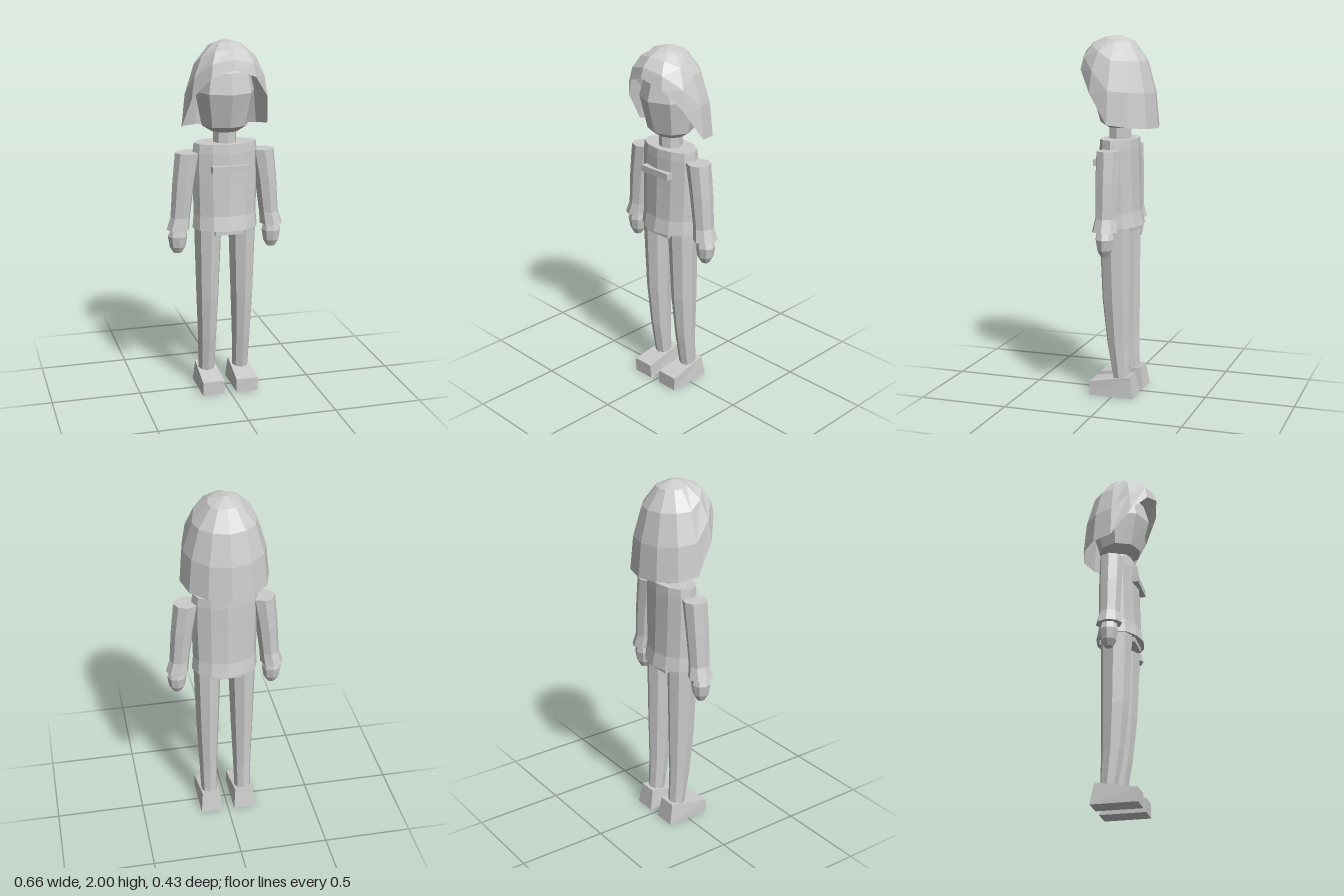
import * as THREE from 'three';

const grey = new THREE.MeshStandardMaterial({ color: 0xcccccc, flatShading: true, side: THREE.DoubleSide });
grey.name = 'light grey';

// Joins rings of points, listed bottom to top, into a faceted skin with optional end caps
function skin(name, rings, capBottom = true, capTop = true) {
  const n = rings[0].length, pos = [], index = [];
  rings.forEach(r => r.forEach(p => pos.push(...p)));
  for (let k = 0; k < rings.length - 1; k++) {
    for (let i = 0; i < n; i++) {
      const a = k * n + i, b = k * n + (i + 1) % n;
      index.push(a, b, b + n, a, b + n, a + n);
    }
  }
  const top = (rings.length - 1) * n;
  for (let i = 1; i < n - 1; i++) {
    if (capBottom) index.push(0, i + 1, i);
    if (capTop) index.push(top, top + i, top + i + 1);
  }
  const g = new THREE.BufferGeometry();
  g.setAttribute('position', new THREE.Float32BufferAttribute(pos, 3));
  g.setIndex(index);
  g.computeVertexNormals();
  const mesh = new THREE.Mesh(g, grey);
  mesh.name = name;
  return mesh;
}

// Elliptical sections: [y, centre x, centre z, radius x, radius z]
function loft(name, sides, sections) {
  return skin(name, sections.map(([y, cx, cz, rx, rz]) =>
    Array.from({ length: sides }, (_, i) => {
      const a = i / sides * Math.PI * 2;
      return [cx + rx * Math.sin(a), y, cz + rz * Math.cos(a)];
    })));
}

function box(name, w, h, d, x, y, z) {
  const mesh = new THREE.Mesh(new THREE.BoxGeometry(w, h, d), grey);
  mesh.name = name;
  mesh.position.set(x, y, z);
  return mesh;
}

// Bobbed hair: a dome whose hem rises from the sides to the forehead
function makeHair() {
  const profile = [[1, 1], [0.92, 0.62], [0.71, 0.28], [0.375, 0.07], [0, 0]];
  const rings = profile.map(([r, drop]) => Array.from({ length: 12 }, (_, i) => {
    const a = i / 12 * Math.PI * 2, z = 0.216 * Math.cos(a);
    const hem = z > 0 ? 1.53 + z * 1.53 : 1.53 + z * 0.14;
    return [0.242 * r * Math.sin(a), 2 - (2 - hem) * drop, r * z];
  }));
  return skin('hair', rings, false, false);
}

// Wedge shoe: low toe, high narrow heel
function makeShoe(name, x) {
  const shoe = box(name, 0.125, 0.12, 0.255, x, 0.06, 0.0025);
  const p = shoe.geometry.attributes.position;
  for (let i = 0; i < p.count; i++) {
    if (p.getY(i) < 0) continue;
    if (p.getZ(i) > 0) p.setY(i, 0.018);
    else {
      p.setX(i, p.getX(i) * 0.84);
      p.setZ(i, -0.107);
    }
  }
  shoe.geometry.computeVertexNormals();
  return shoe;
}

export function createModel() {
  const model = new THREE.Group();
  model.name = 'figure';

  // Head and neck
  model.add(
    makeHair(),
    loft('head', 8, [
      [1.5, 0, 0, 0.075, 0.065], [1.535, 0, 0, 0.13, 0.12],
      [1.72, 0, 0, 0.165, 0.17], [1.83, 0, 0, 0.14, 0.14], [1.92, 0, 0, 0.07, 0.07],
    ]),
    loft('neck', 8, [[1.4, 0, 0, 0.065, 0.065], [1.53, 0, 0, 0.065, 0.065]]),
  );

  // Jumper, chest bar and hips
  model.add(
    loft('torso', 12, [
      [0.96, 0, 0, 0.185, 0.132], [1.04, 0, 0, 0.178, 0.115],
      [1.22, 0, 0, 0.182, 0.108], [1.39, 0, 0, 0.182, 0.104], [1.44, 0, 0, 0.176, 0.1],
    ]),
    box('chestBar', 0.2, 0.036, 0.04, 0, 1.308, 0.105),
    box('hips', 0.16, 0.06, 0.2, 0, 0.962, 0),
  );

  // Limbs, mirrored
  for (const [side, s] of [['left', 1], ['right', -1]]) {
    model.add(
      loft(side + 'Sleeve', 8, [
        [0.96, s * 0.268, 0, 0.064, 0.072], [1.03, s * 0.254, 0, 0.055, 0.058],
        [1.22, s * 0.235, 0, 0.062, 0.064], [1.39, s * 0.21, 0, 0.07, 0.066],
      ]),
      loft(side + 'Hand', 8, [
        [0.825, s * 0.27, 0, 0.024, 0.022], [0.86, s * 0.27, 0, 0.045, 0.042],
        [0.92, s * 0.27, 0, 0.055, 0.052], [0.97, s * 0.265, 0, 0.04, 0.04],
      ]),
      loft(side + 'Leg', 8, [
        [0.1, s * 0.1, -0.038, 0.047, 0.047], [0.3, s * 0.1, -0.018, 0.053, 0.062],
        [0.55, s * 0.1, -0.006, 0.064, 0.078], [0.97, s * 0.098, 0.002, 0.078, 0.088],
      ]),
      makeShoe(side + 'Shoe', s * 0.098),
    );
  }
  return model;
}
